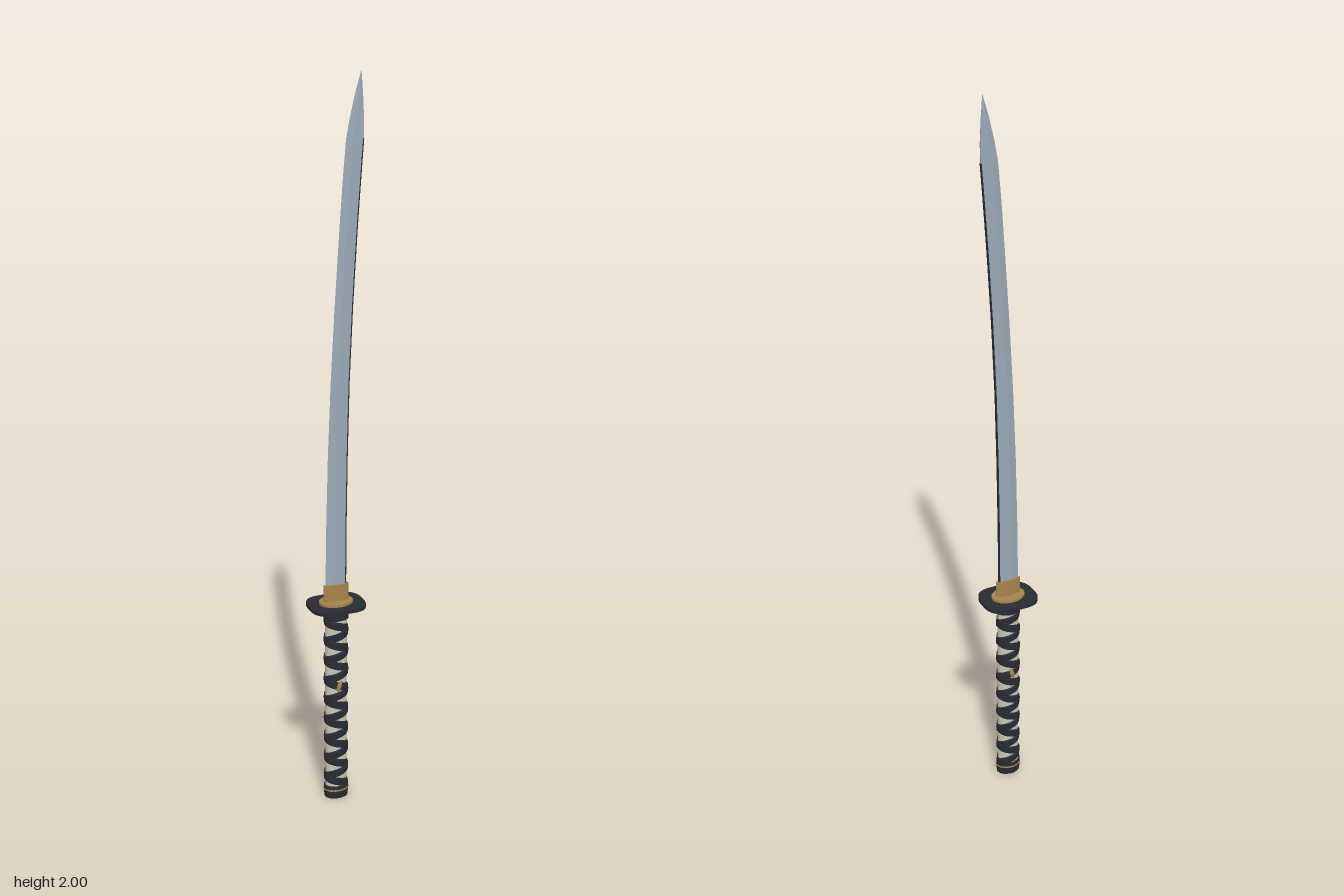
import * as THREE from 'three';
import { toCreasedNormals } from 'three/addons/utils/BufferGeometryUtils.js';

const paint = (color) => new THREE.MeshStandardMaterial({ color });
const DARK = paint(0x272c33), GOLD = paint(0xa8844c), STEEL = paint(0x9aa8b5), CREAM = paint(0xc9c8b6);

// Skin closed rings of [x, y, z] points, with a fan on both ends
function loft(rings, crease = 0.5) {
  const n = rings[0].length, index = [], last = (rings.length - 1) * n;
  for (let i = 0; i < rings.length - 1; i++) {
    for (let j = 0; j < n; j++) {
      const a = i * n + j, b = i * n + (j + 1) % n;
      index.push(a, b, b + n, a, b + n, a + n);
    }
  }
  for (let j = 1; j < n - 1; j++) index.push(0, j + 1, j, last, last + j, last + j + 1);
  const g = new THREE.BufferGeometry();
  g.setAttribute('position', new THREE.Float32BufferAttribute(rings.flat(2), 3));
  g.setIndex(index);
  return toCreasedNormals(g, crease);
}

// Upright elliptical drum between two heights
function drum(y0, y1, rx, rz, taper = 1) {
  const g = new THREE.CylinderGeometry(1, taper, y1 - y0, 40);
  g.scale(rx, 1, rz).translate(0, (y0 + y1) / 2, 0);
  return g;
}

export function createModel() {
  const model = new THREE.Group();
  const add = (name, geometry, material, parent = model) => {
    const mesh = new THREE.Mesh(geometry, material);
    mesh.name = name;
    parent.add(mesh);
    return mesh;
  };

  // Blade stations: height, cutting edge x, spine x, half thickness
  const stations = [
    [0.60, -0.031, 0.027, 0.0050], [0.80, -0.028, 0.028, 0.0050], [1.00, -0.023, 0.031, 0.0048],
    [1.20, -0.015, 0.036, 0.0046], [1.40, -0.004, 0.045, 0.0044], [1.60, 0.009, 0.057, 0.0042],
    [1.74, 0.019, 0.067, 0.0040], [1.83, 0.027, 0.074, 0.0038], [1.88, 0.036, 0.0745, 0.0032],
    [1.94, 0.050, 0.072, 0.0020], [2.00, 0.0675, 0.068, 0.0002],
  ];
  add('blade', loft(stations.map(([y, e, s, t]) => {
    const ridge = e + (s - e) * 0.38;
    return [[s, y, 0], [s, y, -t * 0.7], [ridge, y, -t], [e, y, 0], [ridge, y, t], [s, y, t * 0.7]];
  }), 0.12), STEEL);

  // Dark strip along the back of the blade
  add('bladeSpine', loft(stations.slice(0, 8).map(([y, , s, t]) => {
    const w = t * 0.75;
    return [[s + 0.001, y, w], [s + 0.001, y, -w], [s - 0.002, y, -w], [s - 0.002, y, w]];
  })), DARK);

  // Collar at the foot of the blade
  add('bladeCollar', drum(0.585, 0.637, 0.036, 0.009), GOLD);

  // Guard plate with rounded corners
  const w = 0.077, d = 0.062, r = 0.046;
  const plate = new THREE.Shape();
  plate.moveTo(-w + r, -d);
  plate.lineTo(w - r, -d).quadraticCurveTo(w - 0.004, -d + 0.002, w, -d + r);
  plate.lineTo(w, d - r).quadraticCurveTo(w - 0.004, d - 0.002, w - r, d);
  plate.lineTo(-w + r, d).quadraticCurveTo(-w + 0.004, d - 0.002, -w, d - r);
  plate.lineTo(-w, -d + r).quadraticCurveTo(-w + 0.004, -d + 0.002, -w + r, -d);
  const guard = new THREE.ExtrudeGeometry(plate, { depth: 0.01, bevelEnabled: false, curveSegments: 10 });
  guard.rotateX(-Math.PI / 2).translate(0, 0.573, 0);
  add('guard', toCreasedNormals(guard, 0.5), DARK);
  add('upperWasher', drum(0.583, 0.590, 0.047, 0.035), GOLD);
  add('lowerWasher', drum(0.566, 0.573, 0.047, 0.035), GOLD);

  // Grip core and its end fittings
  add('gripCore', drum(0.02, 0.56, 0.0305, 0.0225), CREAM);
  add('gripCollar', drum(0.538, 0.558, 0.035, 0.027), DARK);
  add('gripCollarBand', drum(0.558, 0.566, 0.036, 0.028), GOLD);
  add('pommelCap', drum(0, 0.022, 0.035, 0.027, 0.94), DARK);
  add('pommelBand', drum(0.022, 0.027, 0.0355, 0.0275), GOLD);
  add('pommelCollar', drum(0.027, 0.036, 0.035, 0.027), DARK);

  // Two flat cords wound in opposite directions, crossing on the narrow sides
  const pitch = 0.0587, crossing = 0.065 + pitch / 2, y0 = 0.034, y1 = 0.540, steps = 220;
  const section = [[-0.001, 0.0125], [0.003, 0.0105], [0.004, 0], [0.003, -0.0105], [-0.001, -0.0125]];
  const wrap = new THREE.Group();
  wrap.name = 'gripWrap';
  model.add(wrap);
  for (const dir of [1, -1]) {
    const rings = [];
    for (let i = 0; i <= steps; i++) {
      const y = y0 + (y1 - y0) * i / steps;
      const angle = dir * 2 * Math.PI * (y - crossing) / pitch;
      // The cords take turns lying on top
      const lift = 0.0005 * dir * Math.cos(angle);
      rings.push(section.map(([out, dy]) => [
        Math.cos(angle) * (0.0305 + out + lift),
        THREE.MathUtils.clamp(y + dy * dir, 0.03, 0.552),
        -Math.sin(angle) * (0.0225 + out + lift),
      ]));
    }
    add(dir > 0 ? 'leftHandCord' : 'rightHandCord', loft(rings, 0.7), DARK, wrap);
  }

  // Small ornament tucked under the cords on each face
  for (const side of [1, -1]) {
    const ornament = add('gripOrnament', new THREE.SphereGeometry(1, 16, 10), GOLD);
    ornament.scale.set(0.007, 0.017, 0.004);
    ornament.position.set(0, 0.345, side * 0.0245);
    ornament.rotation.z = -0.3;
  }
  return model;
}
